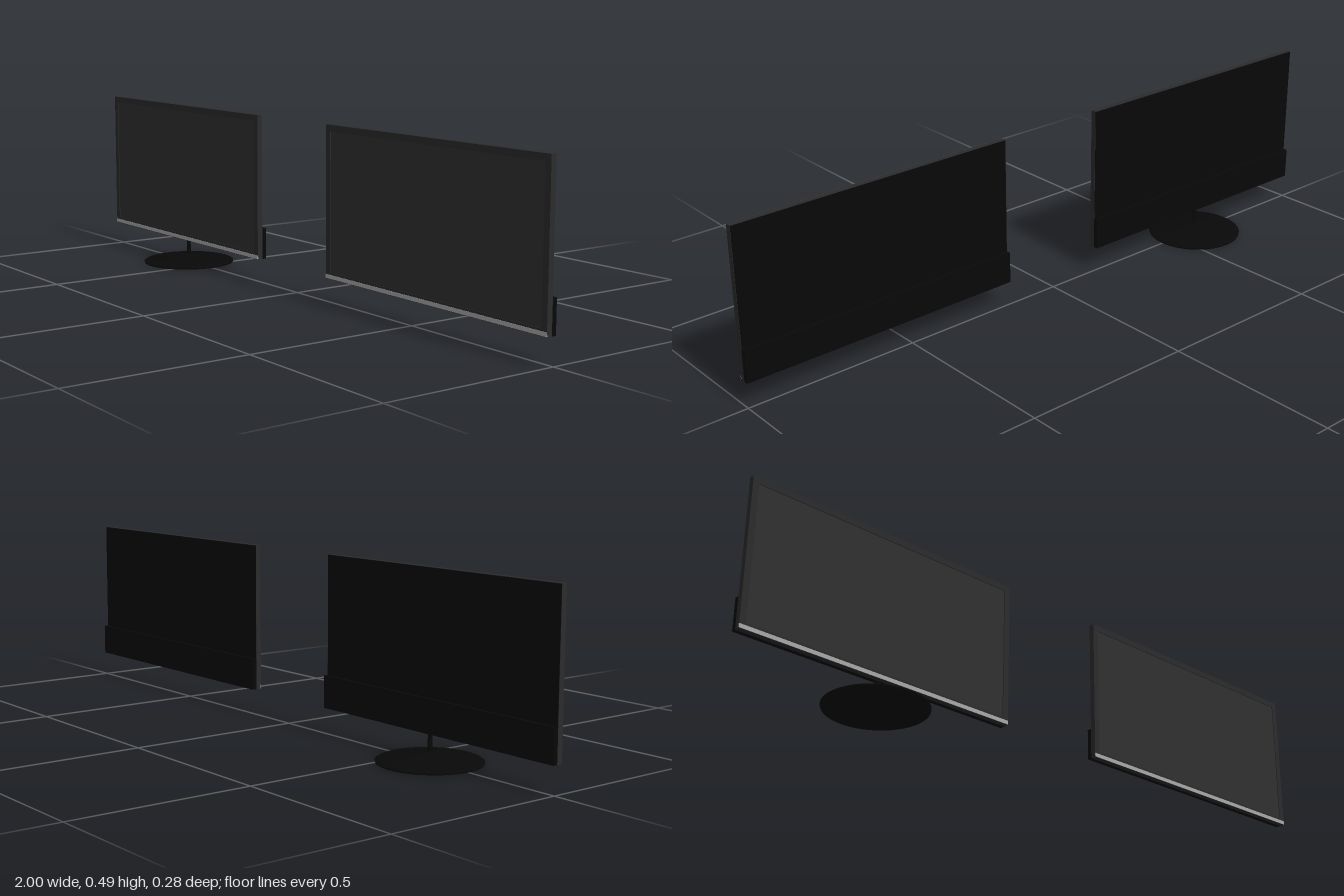
import * as THREE from 'three';

const material = (color, side = THREE.FrontSide) => new THREE.MeshStandardMaterial({ color, side });
const frameMat = material(0x2b2b2b);
const screenMat = material(0x303030);
const blackMat = material(0x080808);
const trimMat = material(0xa8a8a8);

const WIDTH = 0.836, BOTTOM = 0.072, TOP = 0.492, BACK = 0.007, FRONT = 0.023;

function addMesh(parent, name, geometry, mat, x = 0, y = 0, z = 0) {
  const mesh = new THREE.Mesh(geometry, mat);
  mesh.name = name;
  mesh.position.set(x, y, z);
  parent.add(mesh);
  return mesh;
}

// Box given by its vertical and depth limits
function addBox(parent, name, mat, width, y0, y1, z0, z1) {
  const geometry = new THREE.BoxGeometry(width, y1 - y0, z1 - z0);
  return addMesh(parent, name, geometry, mat, 0, (y0 + y1) / 2, (z0 + z1) / 2);
}

function rectanglePath(path, x0, y0, x1, y1) {
  path.moveTo(x0, y0);
  path.lineTo(x1, y0);
  path.lineTo(x1, y1);
  path.lineTo(x0, y1);
  path.closePath();
  return path;
}

function createDisplay() {
  const display = new THREE.Group();
  const half = WIDTH / 2, bezel = 0.018;

  // Bezel ring around the slightly recessed screen
  const outline = rectanglePath(new THREE.Shape(), -half, BOTTOM, half, TOP);
  outline.holes.push(rectanglePath(new THREE.Path(), -half + bezel, BOTTOM + bezel, half - bezel, TOP - bezel));
  const ring = new THREE.ExtrudeGeometry(outline, { depth: FRONT - BACK, bevelEnabled: false });
  addMesh(display, 'bezel', ring, frameMat, 0, 0, BACK);
  addBox(display, 'screen', screenMat, WIDTH - 2 * bezel, BOTTOM + bezel, TOP - bezel, BACK + 0.002, FRONT - 0.002);

  // Light strip under the screen
  addBox(display, 'bottomTrim', trimMat, WIDTH, BOTTOM + 0.001, BOTTOM + 0.012, FRONT - 0.002, FRONT + 0.0006);

  // Dark back cover and the thicker housing along its lower edge
  addBox(display, 'backCover', blackMat, WIDTH - 0.002, BOTTOM + 0.001, TOP - 0.001, BACK - 0.0006, BACK + 0.002);
  addBox(display, 'rearHousing', blackMat, WIDTH, BOTTOM, 0.162, -0.006, BACK);
  return display;
}

function createStand() {
  const stand = new THREE.Group();
  // Shallow conical foot with a thin rim
  const profile = [[0, 0], [0.138, 0], [0.139, 0.004], [0.132, 0.008], [0.008, 0.027], [0, 0.027]]
    .map(([r, y]) => new THREE.Vector2(r, y));
  const foot = new THREE.LatheGeometry(profile, 48).toNonIndexed();
  foot.computeVertexNormals();
  addMesh(stand, 'foot', foot, blackMat);
  addMesh(stand, 'neck', new THREE.CylinderGeometry(0.006, 0.006, 0.08, 16), blackMat, 0, 0.06, 0);
  return stand;
}

export function createModel() {
  const model = new THREE.Group();
  model.name = 'displayPair';
  const centre = 1 - WIDTH / 2;

  // Matching displays; only the one on the right has a stand
  for (const [name, side] of [['rightDisplay', -1], ['leftDisplay', 1]]) {
    const display = createDisplay();
    display.name = name;
    display.position.x = side * centre;
    model.add(display);
  }
  const stand = createStand();
  stand.name = 'stand';
  stand.position.x = -centre;
  model.add(stand);
  return model;
}
